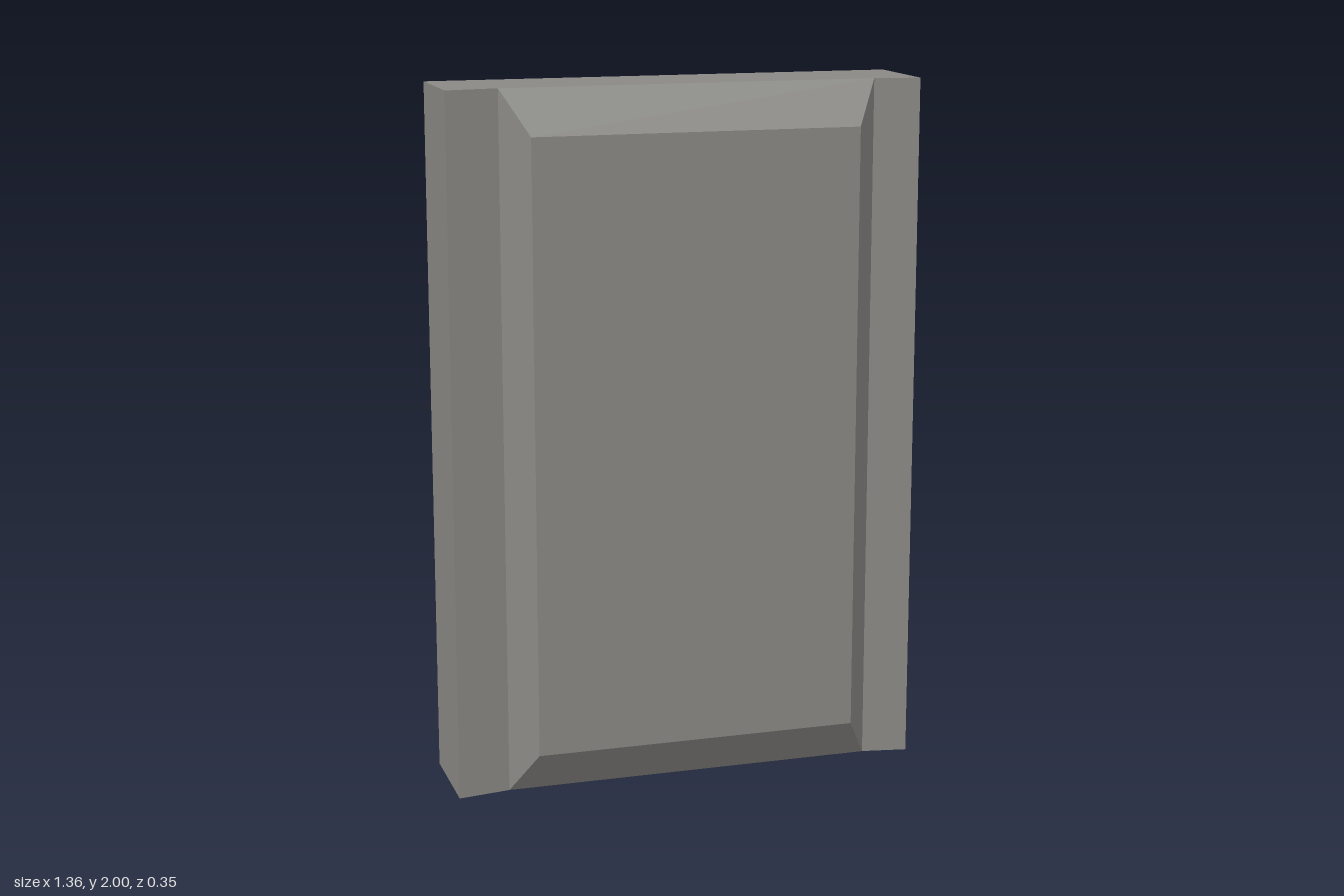
import * as THREE from 'three';

const HEIGHT = 2;
const BASE = { left: -0.53, right: 0.55, z: 0.09 };   // foot of the raised panel
const FACE = { left: -0.46, right: 0.48, z: 0.173, bottom: 0.125, top: 1.875 };

export function createModel() {
  const group = new THREE.Group();
  group.name = 'panelledSlab';
  const grey = new THREE.MeshStandardMaterial({ color: 0x8a8985 });
  grey.name = 'warm grey';

  // Slab: plan outline (x, -z) extruded upward, edges sloping in to the panel
  const outline = new THREE.Shape([
    [-0.68, -0.113], [BASE.left, -BASE.z], [BASE.right, -BASE.z],
    [0.68, -0.113], [0.68, 0.175], [-0.68, 0.175],
  ].map(([x, y]) => new THREE.Vector2(x, y)));
  const slabGeometry = new THREE.ExtrudeGeometry(outline, { depth: HEIGHT, bevelEnabled: false });
  slabGeometry.rotateX(-Math.PI / 2);
  const slab = new THREE.Mesh(slabGeometry, grey);
  slab.name = 'slab';

  // Raised panel: a box whose front corners are drawn in to form the chamfers
  const panelGeometry = new THREE.BoxGeometry(1, 1, 1);
  const p = panelGeometry.attributes.position;
  for (let i = 0; i < p.count; i++) {
    const front = p.getZ(i) > 0;
    const end = front ? FACE : BASE;
    const x = p.getX(i) > 0 ? end.right : end.left;
    const y = p.getY(i) > 0 ? (front ? FACE.top : HEIGHT) : (front ? FACE.bottom : 0);
    p.setXYZ(i, x, y, end.z);
  }
  // Drop the hidden back face, which lies against the slab
  panelGeometry.setIndex(Array.from(panelGeometry.index.array).slice(0, 30));
  panelGeometry.clearGroups();
  panelGeometry.computeVertexNormals();
  const panel = new THREE.Mesh(panelGeometry, grey);
  panel.name = 'raisedPanel';

  group.add(slab, panel);
  return group;
}
